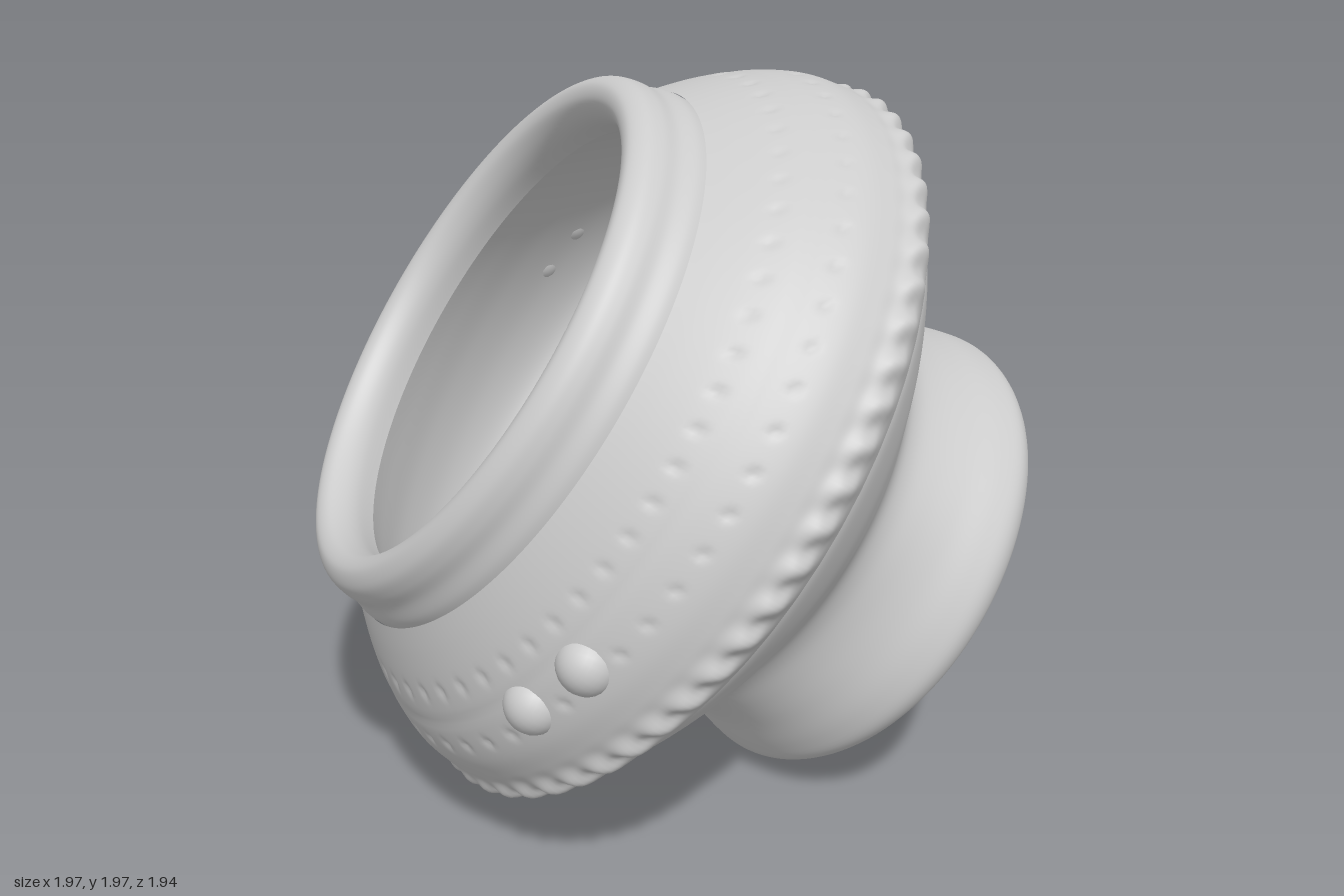
import * as THREE from 'three';
import { mergeVertices } from 'three/addons/utils/BufferGeometryUtils.js';

const AXIS = new THREE.Vector3(-0.575, 0.568, 0.588).normalize();
const CENTRE = new THREE.Vector3(-0.042, 0.997, -0.004);
const TILT = new THREE.Quaternion().setFromUnitVectors(new THREE.Vector3(0, 1, 0), AXIS);
const UNTILT = TILT.clone().invert();
const NOTCHES = 62;
const material = new THREE.MeshStandardMaterial({ color: 0xcccccc });

// Angle around the pot's axis of a direction given in the standing frame
function angleOf(direction) {
  const d = direction.clone().applyQuaternion(UNTILT);
  return Math.atan2(d.x, d.z);
}

// The body and rim are slightly oval: narrower along the level diameter, round at the foot
const LEVEL = angleOf(new THREE.Vector3(AXIS.z, 0, -AXIS.x));
function oval(angle, h) {
  const squeeze = 0.05 * THREE.MathUtils.smoothstep(h, -0.4, -0.05);
  return 1 - squeeze * Math.cos(angle - LEVEL) ** 2;
}

// The foot sits a little off the axis
const lean = h => -0.052 * Math.min(h, 0);

// Lathe a smooth [radius, height] profile, then move each vertex by offset(angle, height, radius)
function turned(name, profile, steps, segments, offset) {
  const curve = new THREE.SplineCurve(profile.map(([r, h]) => new THREE.Vector2(r, h)));
  const points = curve.getPoints((profile.length - 1) * steps);
  points.forEach(p => { p.x = Math.max(p.x, 0); });
  let geometry = new THREE.LatheGeometry(points, segments);
  geometry.deleteAttribute('uv');
  geometry.deleteAttribute('normal');
  geometry = mergeVertices(geometry, 1e-5);
  const pos = geometry.attributes.position;
  for (let i = 0; i < pos.count; i++) {
    const x = pos.getX(i), y = pos.getY(i), z = pos.getZ(i);
    const r = Math.hypot(x, z);
    const angle = Math.atan2(x, z);
    const [dr, dy] = offset(angle, y, r);
    const k = oval(angle, y) * (r + dr) / Math.max(r, 1e-4);
    const shift = lean(y);
    pos.setXYZ(i, x * k + shift * Math.sin(LEVEL), y + dy, z * k + shift * Math.cos(LEVEL));
  }
  geometry.computeVertexNormals();
  const mesh = new THREE.Mesh(geometry, material);
  mesh.name = name;
  return mesh;
}

// Soft bump that is 1 at zero and fades over the given width
const bell = (d, width) => Math.exp(-(d * d) / (width * width));

// A ring of small pricked dots at one height
function dots(angle, h, r, row, count, shift) {
  const step = Math.PI * 2 / count;
  const a = angle + shift;
  const d = a - Math.round(a / step) * step;
  return bell(d * r, 0.013) * bell(h - row, 0.012);
}

// Scalloped flange, pricked rows and a shallow wandering groove
function bodyRelief(angle, h, r) {
  const scallop = bell(h, 0.04) * Math.cos(angle * NOTCHES + h * 22);
  const groove = bell(h - 0.27 - 0.012 * Math.sin(angle * 3), 0.012);
  const prick = dots(angle, h, r, 0.33, 58, 0) + dots(angle, h, r, 0.2, 58, 0.03);
  return [0.011 * scallop - 0.003 * groove - 0.007 * prick, -0.003 * prick];
}

// Uneven hand-smoothed wall, and rough scraped floors
const handmade = (angle, h) => [0.005 * Math.sin(angle * 5 + h * 9) * bell(h + 0.5, 0.25), 0];
const rough = (angle, h, r) => {
  const x = r * Math.sin(angle), z = r * Math.cos(angle);
  const ripple = Math.sin(x * 31 + 3 * Math.sin(z * 9)) * Math.sin(z * 23 + 2 * Math.sin(x * 13));
  return [0, 0.005 * ripple * bell(h + 0.4, 0.12)];
};

export function createModel() {
  const group = new THREE.Group();
  group.name = 'tiltedPot';
  const pot = new THREE.Group();
  pot.name = 'pot';
  pot.position.copy(CENTRE);
  pot.quaternion.copy(TILT);
  group.add(pot);

  // Hollow underside of the foot
  pot.add(turned('footHollow', [
    [0, -0.435], [0.2, -0.435], [0.4, -0.44], [0.51, -0.45], [0.55, -0.49],
    [0.56, -0.58], [0.57, -0.7], [0.582, -0.77],
  ], 6, 128, rough));

  // Flared foot, waist and lower shoulder
  pot.add(turned('foot', [
    [0.582, -0.77], [0.615, -0.807], [0.662, -0.795], [0.69, -0.745], [0.679, -0.68], [0.65, -0.59],
    [0.632, -0.5], [0.632, -0.42], [0.665, -0.355], [0.76, -0.285], [0.88, -0.2], [0.99, -0.105], [1.025, -0.05],
  ], 5, 128, handmade));

  // Notched flange and decorated upper shoulder
  pot.add(turned('shoulder', [
    [1.02, -0.075], [1.055, -0.045], [1.08, -0.015], [1.088, 0.02], [1.075, 0.055], [1.068, 0.09],
    [1.052, 0.15], [1.022, 0.21], [0.975, 0.28], [0.92, 0.345], [0.86, 0.405], [0.805, 0.455],
  ], 6, NOTCHES * 8, bodyRelief));

  // Collar and rounded rim
  pot.add(turned('rim', [
    [0.805, 0.435], [0.8, 0.475], [0.782, 0.52], [0.775, 0.565], [0.758, 0.605], [0.72, 0.63],
    [0.68, 0.62], [0.658, 0.585], [0.653, 0.54], [0.667, 0.48],
  ], 6, 128, () => [0, 0]));

  // Inside of the bowl
  pot.add(turned('bowlInside', [
    [0.667, 0.48], [0.74, 0.4], [0.84, 0.28], [0.925, 0.14], [0.96, 0.01], [0.92, -0.085],
    [0.8, -0.19], [0.66, -0.275], [0.5, -0.335], [0.25, -0.375], [0, -0.38],
  ], 6, 128, rough));

  // Two pairs of low round studs on opposite sides of the shoulder
  const studs = [[0.07, 0.62, 0.9], [0.23, 0.76, 0.9], [-0.81, 1.33, -0.55], [-0.7, 1.45, -0.6]];
  studs.forEach(p => {
    const angle = angleOf(new THREE.Vector3(...p).sub(CENTRE));
    const r = 0.975 * oval(angle, 0.21);
    const stud = new THREE.Mesh(new THREE.SphereGeometry(0.078, 24, 16), material);
    stud.name = 'stud';
    stud.position.set(r * Math.sin(angle), 0.21, r * Math.cos(angle));
    pot.add(stud);
  });

  return group;
}
